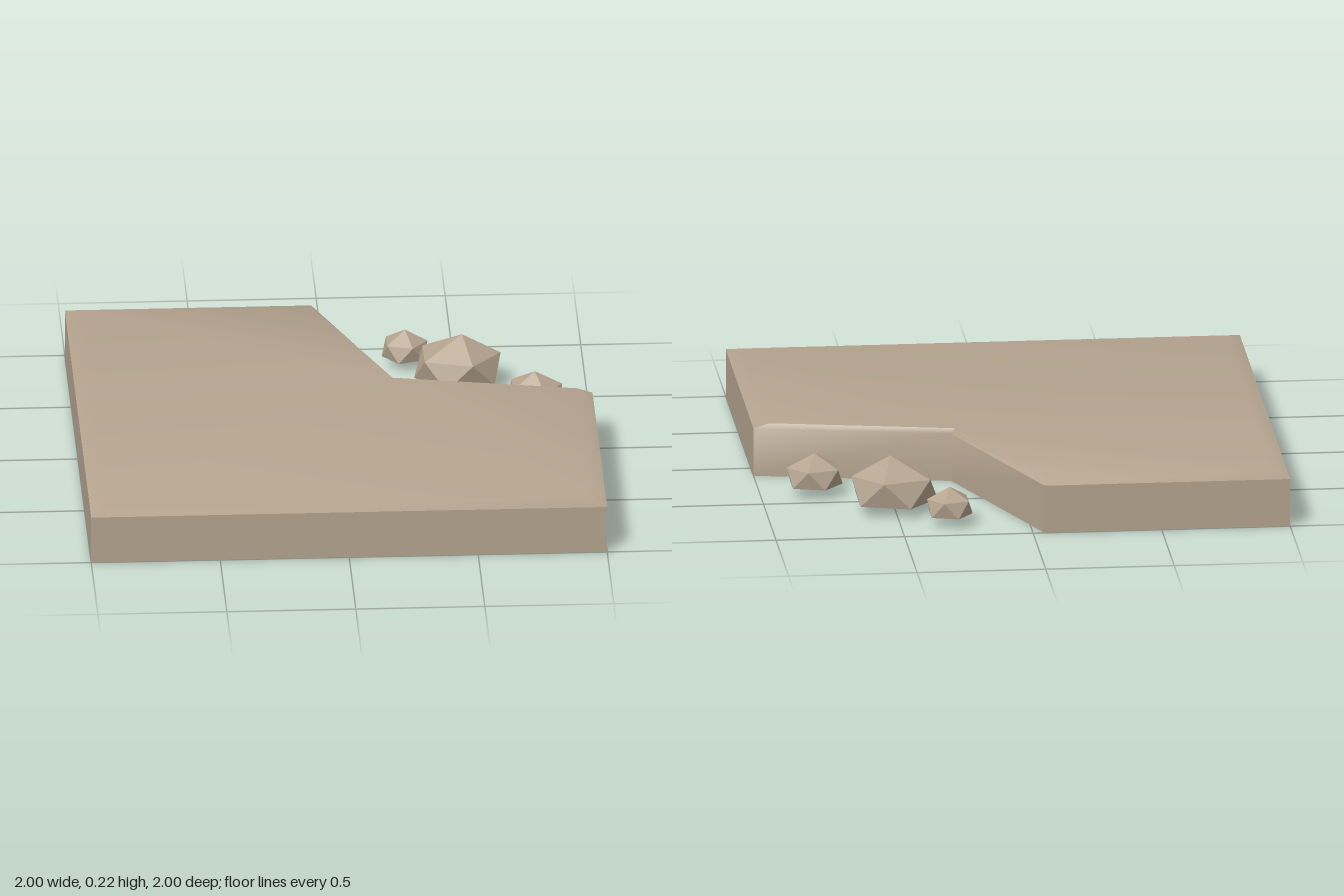
import * as THREE from 'three';
import { toCreasedNormals } from 'three/addons/utils/BufferGeometryUtils.js';
import { ConvexGeometry } from 'three/addons/geometries/ConvexGeometry.js';

// Plan outline (x, z), counter-clockwise from above; index 4 is the notch corner
const OUTLINE = [[-1, -1], [-1, 1], [1, 1], [1, -0.105], [0.245, -0.25], [-0.045, -1]];
// Inset outline of the flat top
const INSET = [[-0.935, -0.935], [-0.935, 0.935], [0.935, 0.935], [0.94, -0.104], [0.232, -0.242], [-0.045, -0.935]];

// Hollow slab: walls, a shallow bevel and a flat top, open underneath
function slabGeometry() {
  const lift = (ring, y) => ring.map(([x, z]) => [x, y, z]);
  const rings = [lift(OUTLINE, 0), lift(OUTLINE, 0.19), lift(INSET, 0.21)];
  const n = OUTLINE.length;
  const points = [];
  for (let r = 0; r < 2; r++) {
    for (let i = 0; i < n; i++) {
      const j = (i + 1) % n;
      const [a, b, c, d] = [rings[r][i], rings[r][j], rings[r + 1][j], rings[r + 1][i]];
      points.push(...a, ...b, ...c, ...a, ...c, ...d);
    }
  }
  // Fan the top from the notch corner
  const top = rings[2];
  for (let k = 1; k < n - 1; k++) {
    points.push(...top[4], ...top[(4 + k) % n], ...top[(5 + k) % n]);
  }
  const geometry = new THREE.BufferGeometry();
  geometry.setAttribute('position', new THREE.Float32BufferAttribute(points, 3));
  return toCreasedNormals(geometry, 0.75);
}

// Faceted rock: peak, five-point shoulder, and a turned five-point flat base
function rockGeometry(rx, rz, shoulder, height, peakX) {
  const points = [new THREE.Vector3(peakX, height, 0)];
  for (let i = 0; i < 5; i++) {
    const a = (i * Math.PI * 2) / 5;
    const b = a + Math.PI / 5;
    points.push(new THREE.Vector3(Math.cos(a) * rx * 0.97, shoulder, Math.sin(a) * rz * 0.97));
    points.push(new THREE.Vector3(Math.cos(b) * rx, 0, Math.sin(b) * rz));
  }
  return new ConvexGeometry(points);
}

export function createModel() {
  const model = new THREE.Group();
  model.name = 'brokenFloorSlab';
  const stone = new THREE.MeshStandardMaterial({ color: 0xb5a48f, side: THREE.DoubleSide });
  stone.name = 'stone';

  const slab = new THREE.Mesh(slabGeometry(), stone);
  slab.name = 'slab';
  model.add(slab);

  // Loose rubble in the broken corner: x, z, rx, rz, shoulder, height, peak offset
  const rocks = [
    ['largeRock', 0.505, -0.625, 0.17, 0.146, 0.1, 0.18, 0.015],
    ['mediumRock', 0.79, -0.38, 0.11, 0.096, 0.07, 0.125, 0],
    ['smallRock', 0.31, -0.84, 0.09, 0.085, 0.062, 0.11, 0],
  ];
  for (const [name, x, z, ...shape] of rocks) {
    const rock = new THREE.Mesh(rockGeometry(...shape), stone);
    rock.name = name;
    rock.position.set(x, 0.04, z);
    model.add(rock);
  }
  return model;
}
